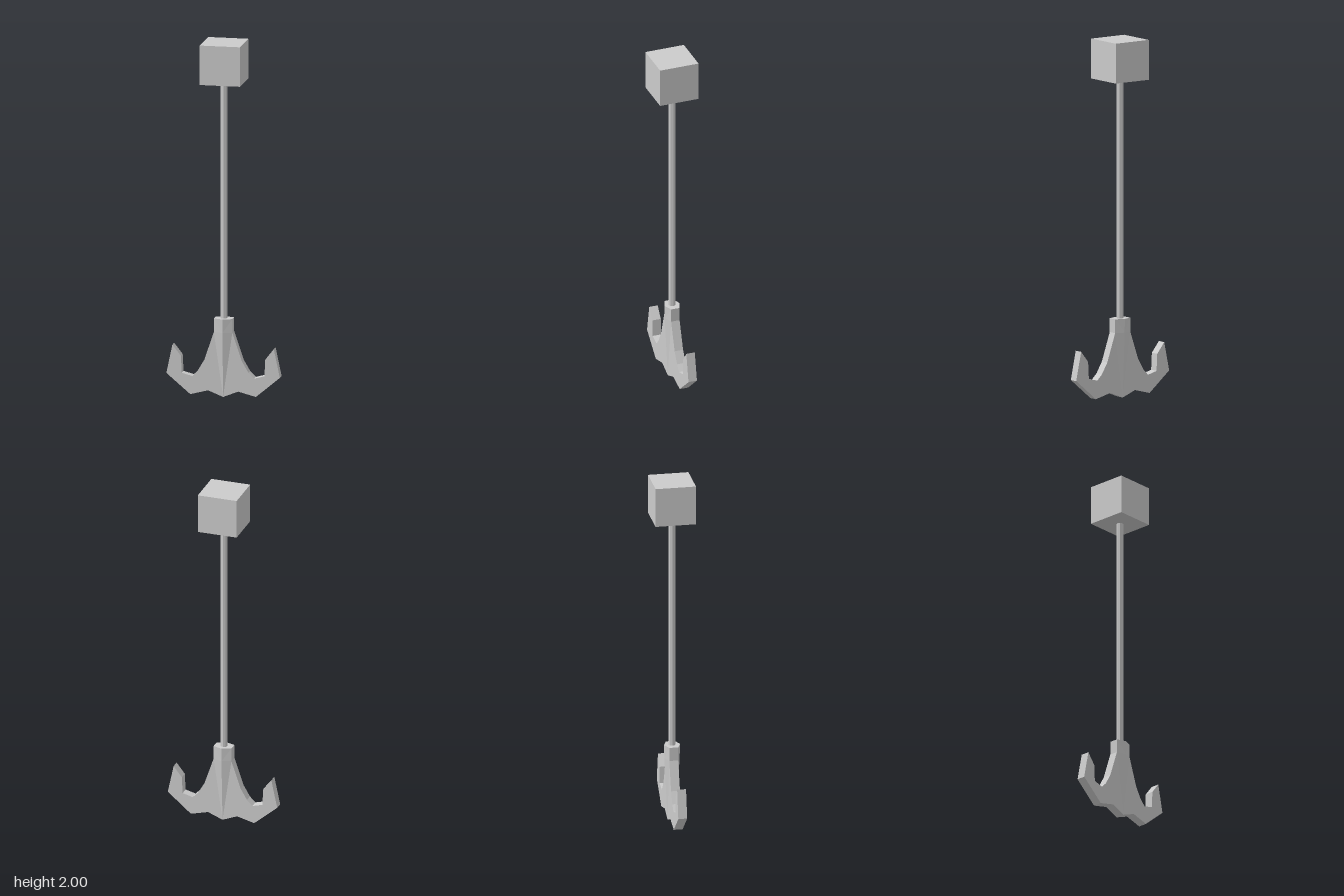
import * as THREE from 'three';

const material = new THREE.MeshStandardMaterial({ color: 0xcccccc, flatShading: true });

// Stations down the shank and out along one arm:
// [inner x, inner y, outer x, outer y, outer half depth]
const EDGE = 0.025;
const STATIONS = [
  [0.052, 0.442, 0, 0.442, 0.045],
  [0.052, 0.365, 0, 0.365, 0.043],
  [0.106, 0.206, 0, 0, EDGE],
  [0.143, 0.143, 0.085, 0.034, EDGE],
  [0.175, 0.111, 0.185, 0.008, EDGE],
  [0.233, 0.127, 0.32, 0.122, EDGE],
  [0.238, 0.222, 0.32, 0.122, EDGE],
  [0.286, 0.283, 0.286, 0.283, EDGE],
];

// One half of the hook; side is +1 or -1 for the mirrored half
function hookHalf(side) {
  const pos = [];
  const tri = (p, q, r) => {
    const order = side > 0 ? [p, q, r] : [p, r, q];
    const [u, v, w] = order.map(([x, y, z]) => new THREE.Vector3(x * side, y, z));
    const area = v.clone().sub(u).cross(w.clone().sub(u)).length();
    if (area > 1e-8) [u, v, w].forEach((c) => pos.push(c.x, c.y, c.z));
  };
  const quad = (p, q, r, s) => { tri(p, q, r); tri(p, r, s); };
  const inner = (i, f) => [STATIONS[i][0], STATIONS[i][1], f * EDGE];
  const outer = (i, f) => [STATIONS[i][2], STATIONS[i][3], f * STATIONS[i][4]];

  quad(inner(0, 1), inner(0, -1), outer(0, -1), outer(0, 1)); // collar top
  for (let i = 0; i < STATIONS.length - 1; i++) {
    const j = i + 1;
    // front and back
    quad(inner(i, 1), outer(i, 1), outer(j, 1), inner(j, 1));
    tri(inner(i, -1), outer(j, -1), outer(i, -1));
    tri(inner(i, -1), inner(j, -1), outer(j, -1));
    // inner rim, and outer rim once past the centre line
    quad(inner(i, 1), inner(j, 1), inner(j, -1), inner(i, -1));
    if (i > 1) quad(outer(i, 1), outer(i, -1), outer(j, -1), outer(j, 1));
  }
  const geo = new THREE.BufferGeometry();
  geo.setAttribute('position', new THREE.Float32BufferAttribute(pos, 3));
  geo.computeVertexNormals();
  return geo;
}

export function createModel() {
  const model = new THREE.Group();
  model.name = 'hangingHook';
  const add = (name, geometry, y = 0, parent = model) => {
    const mesh = new THREE.Mesh(geometry, material);
    mesh.name = name;
    mesh.position.y = y;
    parent.add(mesh);
  };

  // Mounting block and rod
  add('mountingBlock', new THREE.BoxGeometry(0.227, 0.223, 0.227), 1.8885);
  add('rod', new THREE.CylinderGeometry(0.02, 0.02, 1.36, 8), 1.11);

  // Double hook
  const hook = new THREE.Group();
  hook.name = 'doubleHook';
  add('leftHook', hookHalf(1), 0, hook);
  add('rightHook', hookHalf(-1), 0, hook);
  model.add(hook);

  return model;
}
